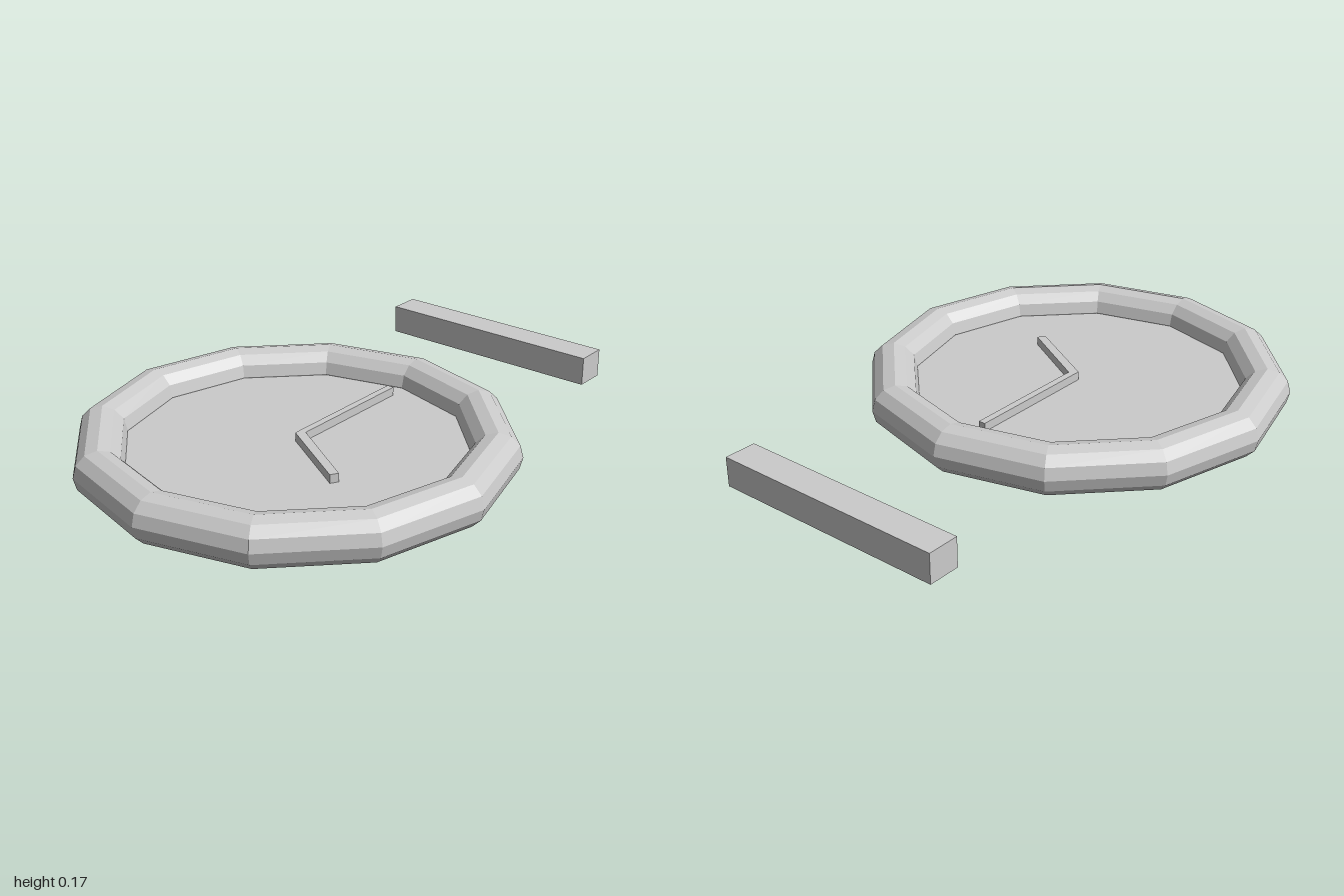
import * as THREE from 'three';

export function createModel() {
  const model = new THREE.Group();
  const midY = 0.085; // height of the ring's centre plane
  const dialZ = 0.243; // the dial sits forward of the separate bar

  const add = (name, geometry, x, y, z, side = THREE.FrontSide) => {
    const material = new THREE.MeshStandardMaterial({ color: 0xcccccc, flatShading: true, side });
    const mesh = new THREE.Mesh(geometry, material);
    mesh.name = name;
    mesh.position.set(x, y, z);
    model.add(mesh);
    return mesh;
  };

  // Twelve-sided ring frame lying flat
  add('ringFrame', new THREE.TorusGeometry(0.672, 0.085, 12, 12).rotateX(Math.PI / 2), 0, midY, dialZ);

  // Thin dial face filling the ring
  add('dialFace', new THREE.CircleGeometry(0.62, 12).rotateX(-Math.PI / 2), 0, midY - 0.003, dialZ, THREE.DoubleSide);

  // Long and short hands joined in one raised outline (x, z)
  const outline = [
    [-0.013, -0.275], [-0.013, 0.235], [0.275, 0.402],
    [0.29, 0.375], [0.013, 0.211], [0.013, -0.275],
  ];
  const shape = new THREE.Shape(outline.map(([x, z]) => new THREE.Vector2(x, -z)));
  const hands = new THREE.ExtrudeGeometry(shape, { depth: 0.033, bevelEnabled: false });
  add('clockHands', hands.rotateX(-Math.PI / 2), 0, midY - 0.005, 0);

  // Separate bar behind the dial
  add('bar', new THREE.BoxGeometry(0.876, 0.106, 0.116), 0, 0.086, -0.942);

  return model;
}
